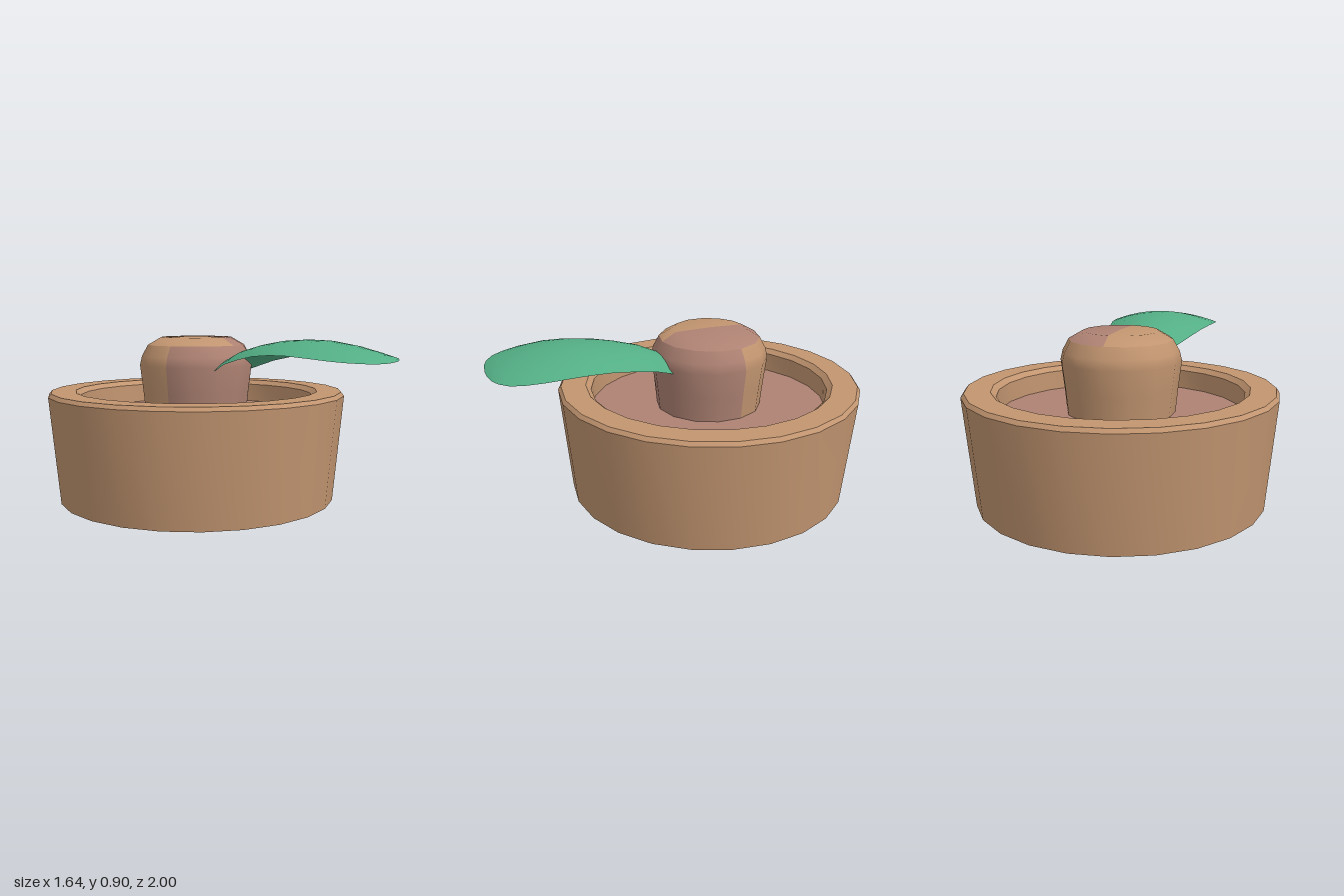
import * as THREE from 'three';
import { toCreasedNormals } from 'three/addons/utils/BufferGeometryUtils.js';

const paint = (name, color, side = THREE.FrontSide) => {
  const m = new THREE.MeshStandardMaterial({ color, side });
  m.name = name;
  return m;
};

export function createModel() {
  const model = new THREE.Group();
  model.name = 'sproutingPot';
  const clay = paint('clay brown', 0xc29570);
  const soil = paint('dusty mauve', 0xae8273);
  const green = paint('leaf green', 0x53ae85, THREE.DoubleSide);

  const add = (name, geometry, material, parent) => {
    const mesh = new THREE.Mesh(geometry, material);
    mesh.name = name;
    parent.add(mesh);
    return mesh;
  };
  const profile = (pts) => pts.map(([r, y]) => new THREE.Vector2(r, y));

  // Pot: tapered wall, bevelled rim and inner wall
  const pot = new THREE.Group();
  pot.name = 'pot';
  pot.position.z = -0.185;
  model.add(pot);
  const wall = new THREE.LatheGeometry(profile([
    [0.765, 0], [0.818, 0.58], [0.802, 0.6], [0.67, 0.6], [0.642, 0.575], [0.64, 0.47],
  ]), 24);
  add('potWall', toCreasedNormals(wall, 0.5), clay, pot);
  add('potBase', new THREE.CircleGeometry(0.765, 24).rotateX(Math.PI / 2), soil, pot);
  add('soil', new THREE.CircleGeometry(0.64, 24).rotateX(-Math.PI / 2), soil, pot).position.y = 0.47;

  // Bud: 14 sides, two-toned, with the cap split along a different plane
  const step = Math.PI / 7;
  const side = profile([[0.285, 0.47], [0.298, 0.6], [0.315, 0.74], [0.303, 0.79], [0.27, 0.85]]);
  const cap = profile([[0.27, 0.85], [0.195, 0.893], [0, 0.897]]);
  const half = (name, pts, start, material) =>
    add(name, new THREE.LatheGeometry(pts, 7, start * step, Math.PI), material, pot);
  half('budFront', side, -3, soil);
  half('budBack', side, 4, clay);
  half('budCapLeft', cap, 0, soil);
  half('budCapRight', cap, 7, clay);

  // Leaf: rows of [z, half width, ridge height, droop at the edges]
  const rows = [
    [0.08, 0.152, 0.782, 0.062], [0.2, 0.205, 0.835, 0.068], [0.32, 0.245, 0.866, 0.07],
    [0.44, 0.278, 0.887, 0.068], [0.56, 0.302, 0.895, 0.065], [0.66, 0.312, 0.893, 0.062],
    [0.78, 0.302, 0.875, 0.052], [0.87, 0.275, 0.852, 0.038], [0.93, 0.238, 0.833, 0.025],
    [0.97, 0.18, 0.815, 0.012], [0.99, 0.12, 0.803, 0.004], [1.0, 0.03, 0.796, 0],
  ];
  const cols = 12;
  const leaf = new THREE.PlaneGeometry(1, 1, cols, rows.length - 1);
  const pos = leaf.attributes.position;
  rows.forEach(([z, w, y, droop], r) => {
    for (let c = 0; c <= cols; c++) {
      const u = (c / cols) * 2 - 1;
      pos.setXYZ(r * (cols + 1) + c, u * w, y - droop * u * u, z);
    }
  });
  leaf.computeVertexNormals();
  add('leaf', leaf, green, model);

  return model;
}
